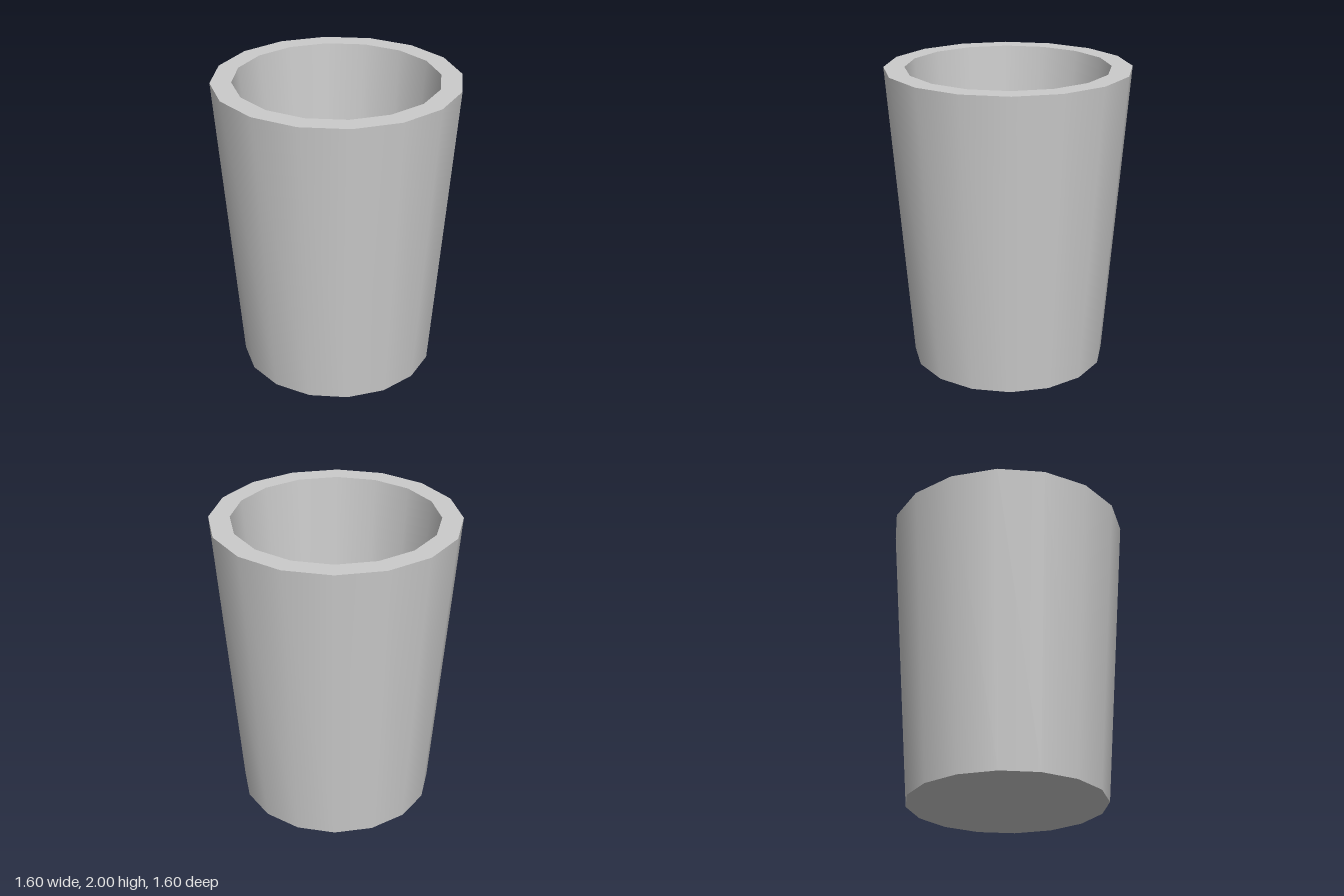
import * as THREE from 'three';

const SIDES = 16;
const HEIGHT = 2;
const FLOOR = 0.06;

// Profile corners [radius, y], running from under the base, over the rim, to the inner floor
const profile = [
  [0, 0], [0.65, 0], [0.8, HEIGHT], [0.665, HEIGHT], [0.515, FLOOR], [0, FLOOR],
];
const partNames = ['base', 'outerWall', 'rim', 'innerWall', 'innerFloor'];

export function createModel() {
  const cup = new THREE.Group();
  cup.name = 'cup';
  const material = new THREE.MeshStandardMaterial({ color: 0xcccccc });

  // One lathe per profile segment: smooth around, sharp at the edges between parts
  partNames.forEach((name, i) => {
    const segment = [profile[i], profile[i + 1]].map(([r, y]) => new THREE.Vector2(r, y));
    const part = new THREE.Mesh(new THREE.LatheGeometry(segment, SIDES), material);
    part.name = name;
    cup.add(part);
  });
  return cup;
}
